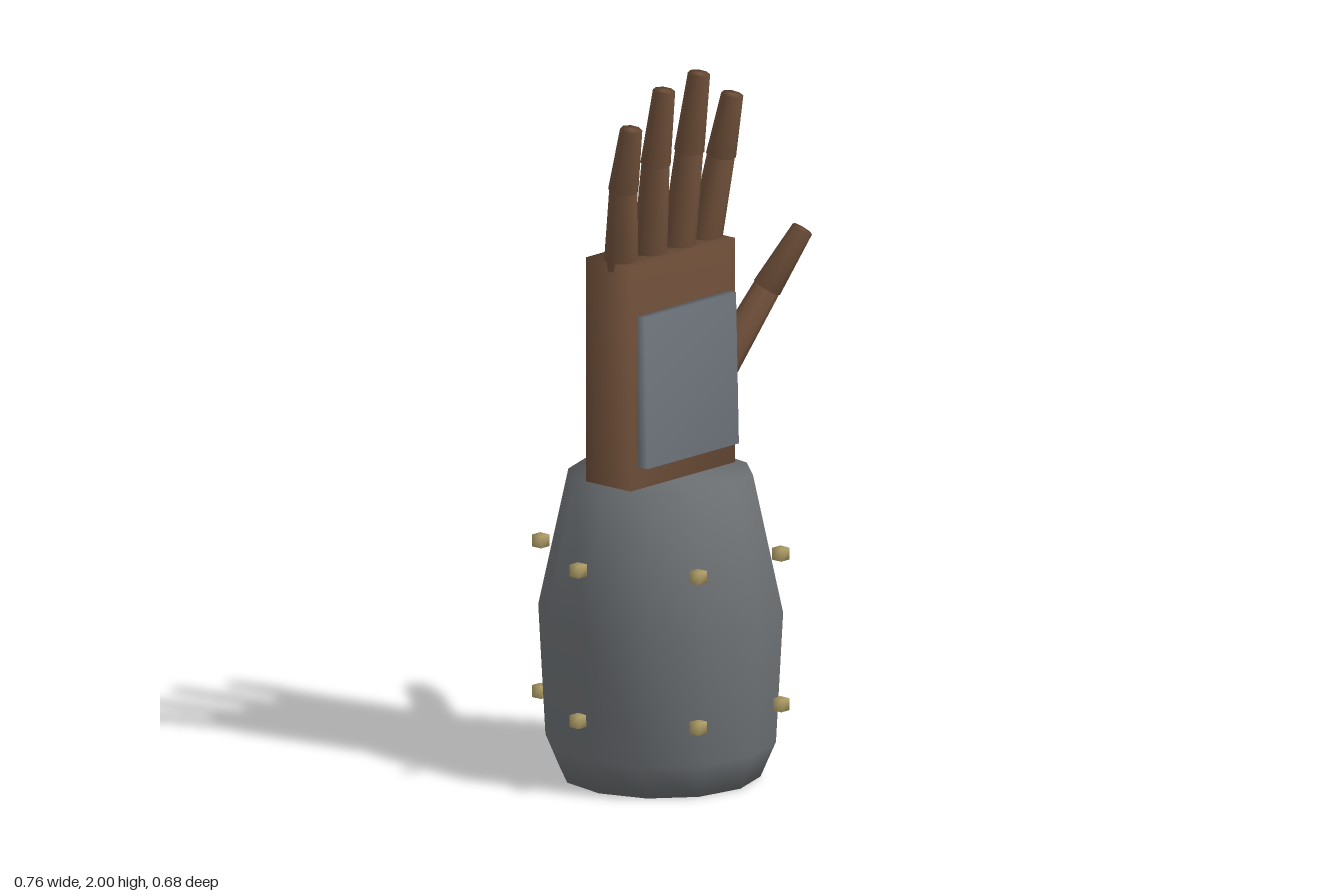
import * as THREE from 'three';
import { mergeVertices } from 'three/addons/utils/BufferGeometryUtils.js';

const material = (name, color) => {
  const m = new THREE.MeshStandardMaterial({ color });
  m.name = name;
  return m;
};

// weld corners so that shading runs smoothly over every edge
function smooth(geometry) {
  geometry.deleteAttribute('uv');
  geometry.deleteAttribute('normal');
  const welded = mergeVertices(geometry, 1e-4);
  welded.computeVertexNormals();
  return welded;
}

export function createModel() {
  const skin = material('brown skin', 0x70503a);
  const sleeve = material('grey sleeve', 0x6c7073);
  const metal = material('steel plate', 0x6e757c);
  const brass = material('brass', 0xb5a26a);

  const model = new THREE.Group();
  model.name = 'gauntletHand';
  const arm = new THREE.Group();
  arm.name = 'arm';
  arm.position.x = -0.028;
  arm.rotation.y = 0.888;
  model.add(arm);

  const add = (name, geometry, mat, parent = arm) => {
    const mesh = new THREE.Mesh(geometry, mat);
    mesh.name = name;
    parent.add(mesh);
    return mesh;
  };

  // forearm cuff, twelve sided and closed at both ends
  const profile = [[0, 0], [0.278, 0], [0.321, 0.1], [0.341, 0.47], [0.257, 0.86], [0, 0.86]];
  const cuff = add('cuff', smooth(new THREE.LatheGeometry(
    profile.map(([r, y]) => new THREE.Vector2(r, y)), 12)), sleeve);
  cuff.rotation.y = 0.077;

  // two rings of studs round the cuff
  const studGeometry = smooth(new THREE.BoxGeometry(0.034, 0.034, 0.034));
  for (const y of [0.215, 0.645]) {
    for (let i = 0; i < 6; i++) {
      const a = Math.PI / 6 + i * Math.PI / 3;
      add('stud', studGeometry, brass).position.set(0.339 * Math.sin(a), y, 0.339 * Math.cos(a));
    }
  }

  // palm and its plate
  add('palm', smooth(new THREE.BoxGeometry(0.43, 0.7, 0.165)), skin).position.y = 1.15;
  const plate = add('palmPlate', smooth(new THREE.BoxGeometry(0.375, 0.43, 0.036)), metal);
  plate.position.set(0, 1.14, 0.098);
  plate.rotation.x = -0.025;

  // tapered segment between two points
  function segment(name, from, to, r0, r1, parent) {
    const a = new THREE.Vector3(...from), b = new THREE.Vector3(...to);
    const dir = b.clone().sub(a);
    const mesh = add(name, smooth(new THREE.CylinderGeometry(r1, r0, dir.length(), 8)), skin, parent);
    mesh.position.copy(a).add(b).multiplyScalar(0.5);
    mesh.quaternion.setFromUnitVectors(new THREE.Vector3(0, 1, 0), dir.normalize());
  }

  // base, joint and tip of each digit
  const digits = {
    littleFinger: [[-0.172, 1.48, 0.008], [-0.198, 1.71, 0.04], [-0.203, 1.89, 0.074]],
    ringFinger: [[-0.056, 1.48, 0.01], [-0.07, 1.76, 0.044], [-0.068, 1.975, 0.074]],
    middleFinger: [[0.06, 1.48, 0.01], [0.073, 1.77, 0.04], [0.078, 1.995, 0.072]],
    indexFinger: [[0.17, 1.48, 0.008], [0.207, 1.73, 0.037], [0.217, 1.908, 0.07]],
    thumb: [[0.228, 1.085, -0.002], [0.395, 1.315, 0.038], [0.467, 1.48, 0.105]],
  };
  for (const [name, [base, joint, tip]] of Object.entries(digits)) {
    const digit = new THREE.Group();
    digit.name = name;
    arm.add(digit);
    segment('lowerSegment', base, joint, 0.048, 0.039, digit);
    segment('upperSegment', joint, tip, 0.042, 0.031, digit);
  }
  return model;
}
